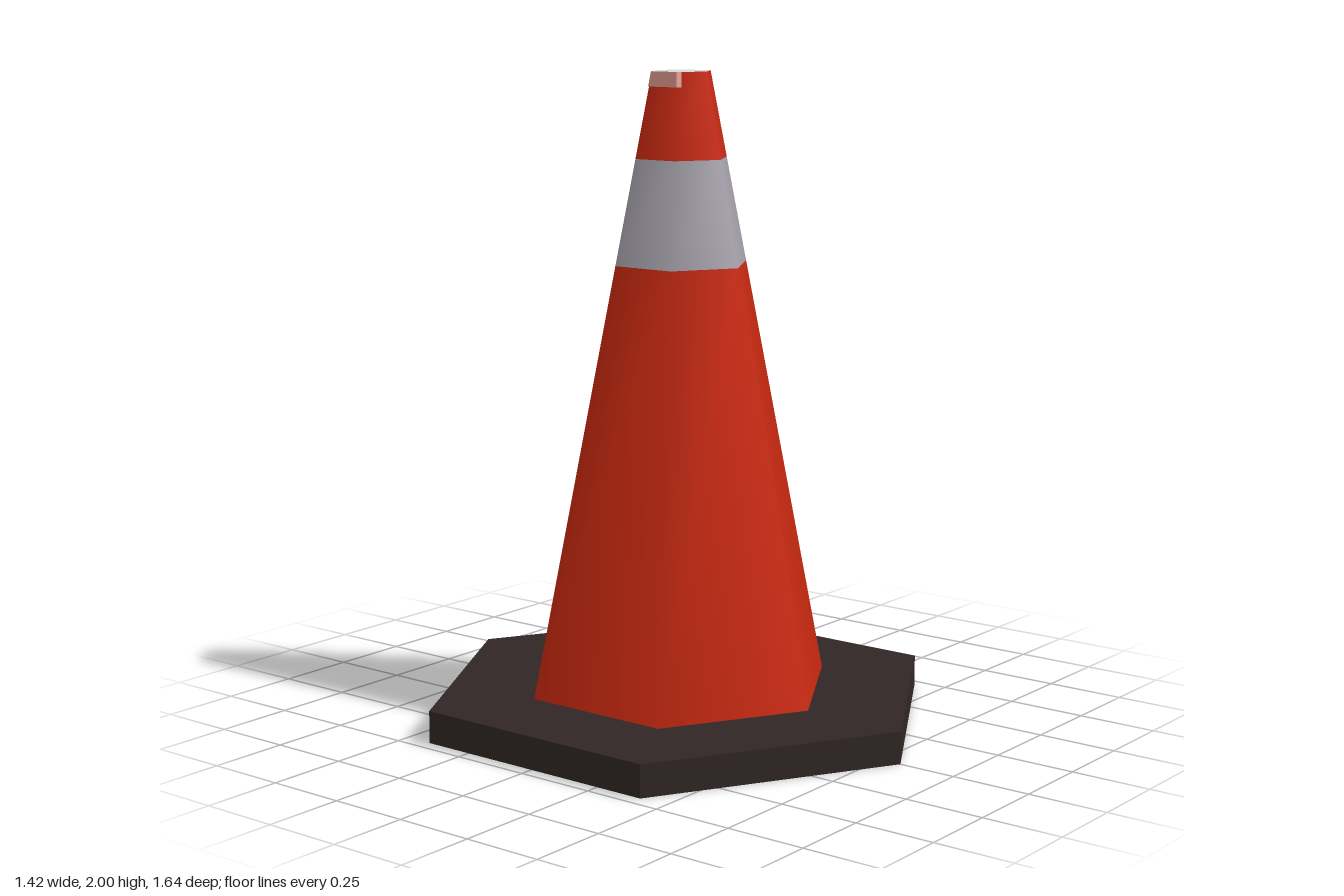
import * as THREE from 'three';

const BASE_Y = 0.1, TOP_Y = 2, BASE_R = 0.485, TOP_R = 0.095;
const radiusAt = (y) => BASE_R + ((TOP_R - BASE_R) * (y - BASE_Y)) / (TOP_Y - BASE_Y);

function material(name, color) {
  const m = new THREE.MeshStandardMaterial({ color });
  m.name = name;
  return m;
}

// Point on the six-sided cone; s counts sides around from +z towards +x
function conePoint(s, y, lift) {
  const r = radiusAt(y) + lift;
  const corner = (i) => new THREE.Vector3(Math.sin(i * Math.PI / 3) * r, y, Math.cos(i * Math.PI / 3) * r);
  const i = Math.floor(s);
  return corner(i).lerp(corner(i + 1), s - i);
}

// Thin patch lying on the cone, following the listed positions around it
function patchGeometry(stops, y0, y1) {
  const points = [];
  for (let k = 0; k < stops.length - 1; k++) {
    const [a, b] = [stops[k], stops[k + 1]];
    const p = [[a, y0], [b, y0], [b, y1], [a, y1]].map(([s, y]) => conePoint(s, y, 0.003));
    points.push(p[0], p[1], p[2], p[0], p[2], p[3]);
  }
  const geometry = new THREE.BufferGeometry().setFromPoints(points);
  geometry.computeVertexNormals();
  return geometry;
}

export function createModel() {
  const group = new THREE.Group();
  const rubber = material('dark rubber', 0x302625);
  const red = material('cone red', 0xc8280f);
  const silver = material('reflective grey', 0xa8a3ad);
  const white = material('top white', 0xd8d8d8);
  const pink = material('pale patch', 0xde978c);

  const add = (name, geometry, mat) => {
    const mesh = new THREE.Mesh(geometry, mat);
    mesh.name = name;
    group.add(mesh);
    return mesh;
  };

  // Flat hexagonal foot with hard edges
  const foot = new THREE.CylinderGeometry(0.818, 0.818, BASE_Y, 6).toNonIndexed();
  foot.computeVertexNormals();
  add('base', foot, rubber).position.y = BASE_Y / 2;

  // Smooth-shaded cone, split by colour
  const sections = [
    ['lowerCone', BASE_Y, 1.42, red],
    ['reflectiveBand', 1.42, 1.74, silver],
    ['upperCone', 1.74, TOP_Y, red],
  ];
  for (const [name, y0, y1, mat] of sections) {
    const geometry = new THREE.CylinderGeometry(radiusAt(y1), radiusAt(y0), y1 - y0, 6, 1, true);
    add(name, geometry, mat).position.y = (y0 + y1) / 2;
  }

  // Flat top
  const cap = new THREE.CircleGeometry(TOP_R, 6, Math.PI / 2);
  cap.rotateX(-Math.PI / 2);
  add('topCap', cap, white).position.y = TOP_Y;

  // Small pale patches on the two sides
  add('leftPatch', patchGeometry([1, 2], 1.84, 1.89), pink);
  add('rightPatch', patchGeometry([4, 5, 5.16], 1.955, 2), pink);

  return group;
}
